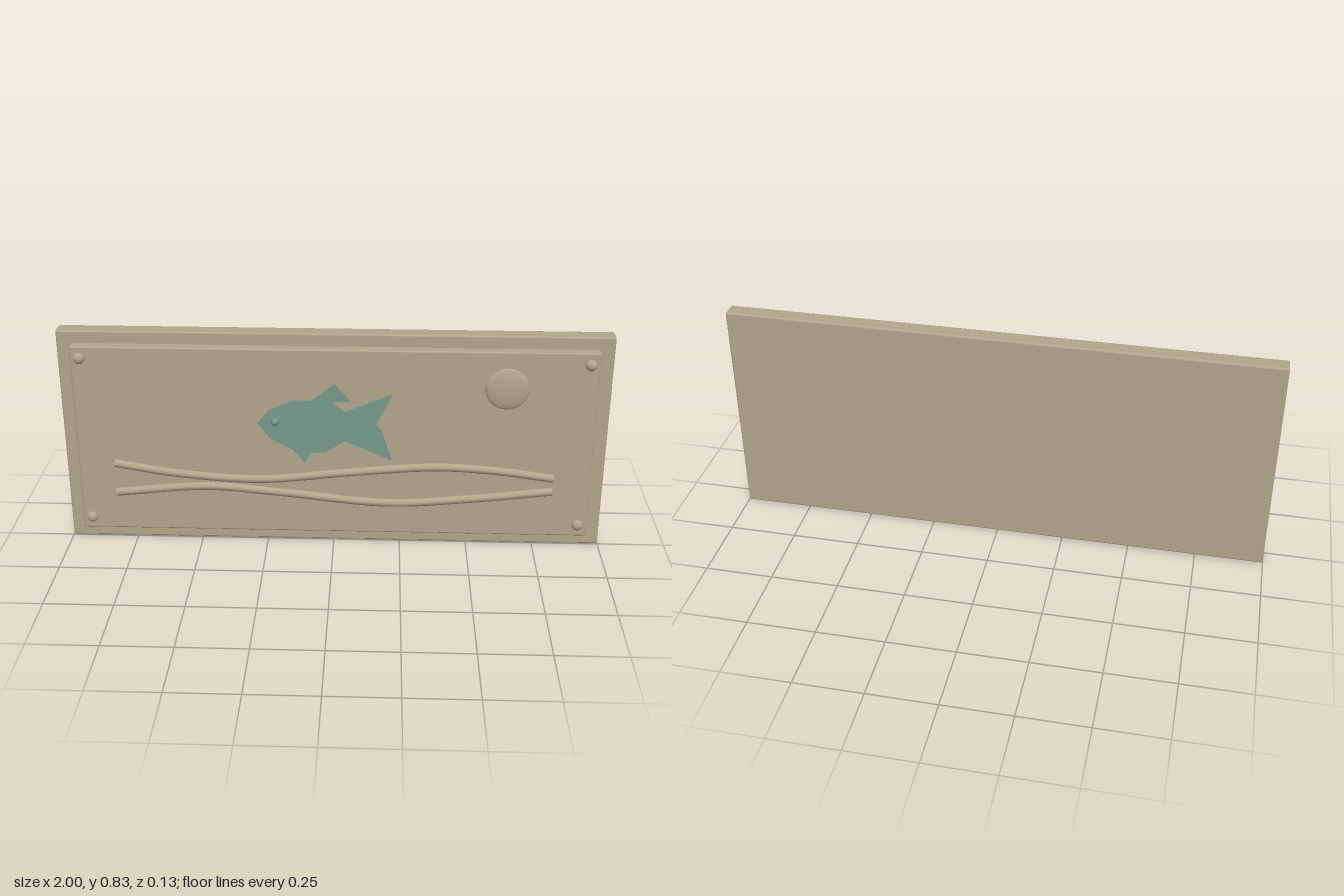
import * as THREE from 'three';
import { RoundedBoxGeometry } from 'three/addons/geometries/RoundedBoxGeometry.js';

export function createModel() {
  const group = new THREE.Group();
  const stone = new THREE.MeshStandardMaterial({ color: 0xb2a68c });
  stone.name = 'stone';
  const verdigris = new THREE.MeshStandardMaterial({ color: 0x76998a });
  verdigris.name = 'verdigris';

  const add = (name, geometry, material, x = 0, y = 0, z = 0) => {
    const mesh = new THREE.Mesh(geometry, material);
    mesh.name = name;
    mesh.position.set(x, y, z);
    group.add(mesh);
    return mesh;
  };
  const face = 0.037; // front surface of the raised panel

  // Backing slab and raised panel
  add('backingSlab', new RoundedBoxGeometry(2, 0.832, 0.063, 2, 0.007), stone, 0, 0.416, -0.0315);
  add('raisedPanel', new RoundedBoxGeometry(1.894, 0.732, 0.045, 2, 0.006), stone, 0, 0.419, face - 0.0225);

  // Domes: a half sphere pressed flat against the panel
  const dome = (name, x, y, radius, height, material) => {
    const geometry = new THREE.SphereGeometry(radius, 32, 10, 0, Math.PI * 2, 0, Math.PI / 2);
    geometry.rotateX(Math.PI / 2);
    geometry.scale(1, 1, height / radius);
    return add(name, geometry, material, x, y, face);
  };
  for (const x of [-0.913, 0.913]) {
    for (const y of [0.099, 0.74]) dome('cornerStud', x, y, 0.021, 0.015, stone);
  }
  dome('sunDisc', 0.623, 0.645, 0.079, 0.014, stone);

  // Wavy water lines, half sunk in the panel
  const wave = (name, points) => {
    const curve = new THREE.CatmullRomCurve3(points.map(([x, y]) => new THREE.Vector3(x, y, 0.034)));
    add(name, new THREE.TubeGeometry(curve, 48, 0.0165, 12), stone);
    // End caps
    for (const end of [0, 1]) {
      const cap = add(name + 'Cap', new THREE.CircleGeometry(0.0165, 12), stone);
      const tangent = curve.getTangent(end).multiplyScalar(end ? 1 : -1);
      cap.position.copy(curve.getPoint(end));
      cap.quaternion.setFromUnitVectors(new THREE.Vector3(0, 0, 1), tangent);
    }
  };
  wave('upperWave', [[-0.812, 0.326], [-0.58, 0.289], [-0.27, 0.27], [0.06, 0.304], [0.38, 0.33], [0.6, 0.319], [0.81, 0.291]]);
  wave('lowerWave', [[-0.812, 0.206], [-0.47, 0.237], [-0.2, 0.217], [0.2, 0.18], [0.49, 0.2], [0.81, 0.238]]);

  // Flat fish relief
  const plate = (name, points, depth) => {
    const shape = new THREE.Shape(points.map(([x, y]) => new THREE.Vector2(x, y)));
    add(name, new THREE.ExtrudeGeometry(shape, { depth, bevelEnabled: false }), verdigris, 0, 0, face - 0.002);
  };
  plate('fishBody', [
    [-0.274, 0.5], [-0.23, 0.441], [-0.13, 0.389], [-0.03, 0.388], [0.042, 0.436], [0.213, 0.36],
    [0.173, 0.478], [0.155, 0.5], [0.213, 0.621], [0.042, 0.548], [-0.02, 0.594], [-0.145, 0.591], [-0.23, 0.553],
  ], 0.015);
  plate('dorsalFin', [[-0.075, 0.585], [0.058, 0.591], [0.004, 0.656], [-0.075, 0.594]], 0.012);
  plate('pelvicFin', [[-0.147, 0.395], [-0.105, 0.343], [-0.076, 0.395]], 0.012);

  // Fish eye
  const eye = new THREE.SphereGeometry(0.0145, 20, 14);
  add('fishEye', eye, verdigris, -0.212, 0.509, 0.05);

  // Centre the whole depth on z = 0, keeping the base on y = 0
  const box = new THREE.Box3().setFromObject(group);
  const shift = -(box.min.z + box.max.z) / 2;
  for (const child of group.children) child.position.z += shift;
  return group;
}
